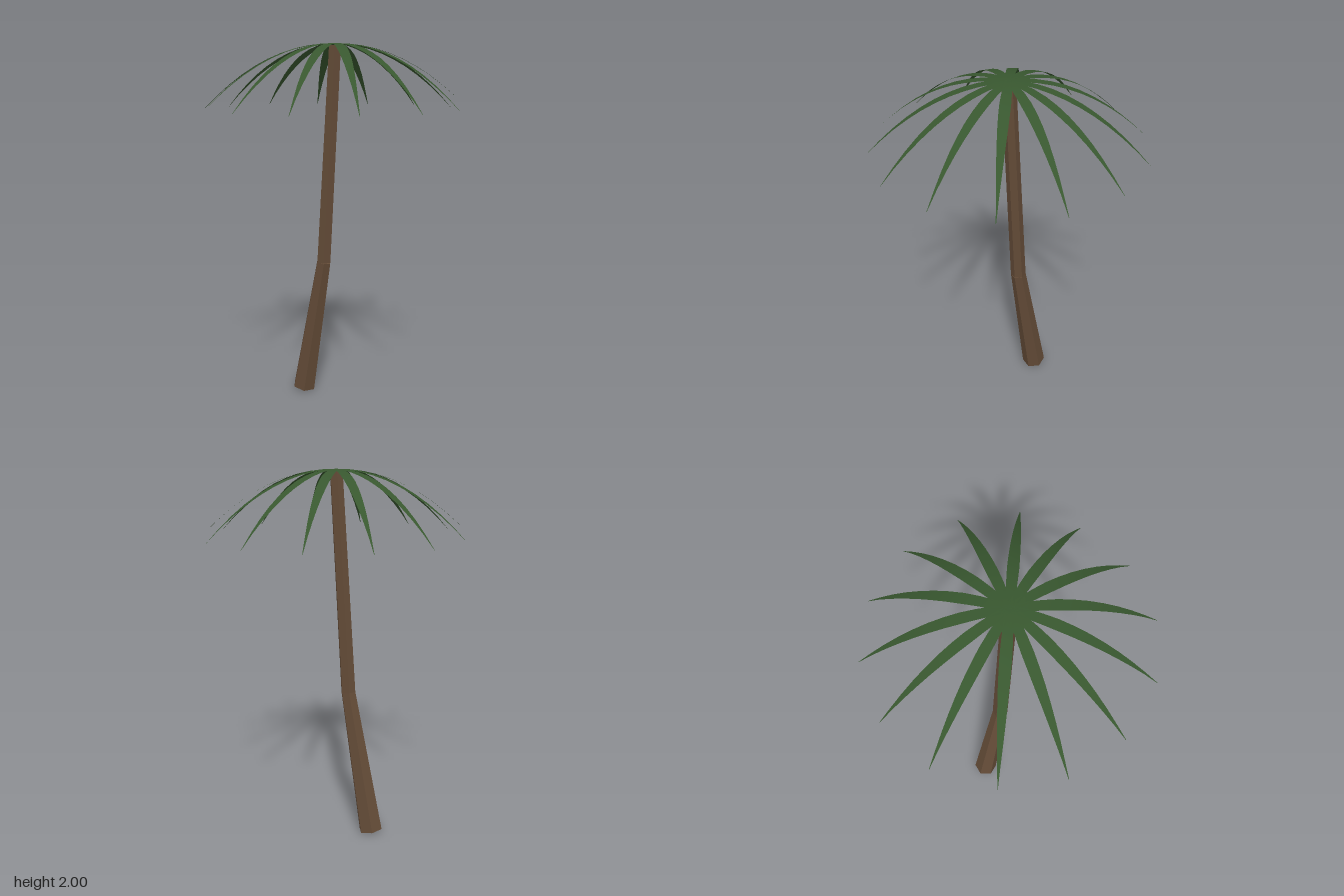
import * as THREE from 'three';

const bark = new THREE.MeshStandardMaterial({ color: 0x634b37, flatShading: true });
bark.name = 'bark brown';
const leaf = new THREE.MeshStandardMaterial({ color: 0x38572f, side: THREE.DoubleSide });
leaf.name = 'leaf green';

// Six-sided tapered log between two points
function log(name, from, to, rFrom, rTo) {
  const axis = to.clone().sub(from);
  const geo = new THREE.CylinderGeometry(rTo, rFrom, axis.length(), 6);
  geo.rotateY(Math.PI / 6);
  const mesh = new THREE.Mesh(geo, bark);
  mesh.name = name;
  mesh.position.copy(from).add(to).multiplyScalar(0.5);
  mesh.quaternion.setFromUnitVectors(new THREE.Vector3(0, 1, 0), axis.normalize());
  return mesh;
}

// Thin pointed blade along +x that arches downwards
const HALF_WIDTHS = [0.018, 0.022, 0.025, 0.027, 0.026, 0.024, 0.0205, 0.0165, 0.0115, 0.006, 0.001];
function frondGeometry(length, drop) {
  const n = HALF_WIDTHS.length - 1;
  const geo = new THREE.PlaneGeometry(1, 1, n, 1);
  geo.rotateX(-Math.PI / 2);
  const p = geo.attributes.position;
  for (let i = 0; i < p.count; i++) {
    const t = p.getX(i) + 0.5;
    const w = HALF_WIDTHS[Math.round(t * n)];
    p.setXYZ(i, t * length, 2 - drop * Math.pow(t, 2.1), Math.sign(p.getZ(i)) * w);
  }
  geo.computeVertexNormals();
  return geo;
}

export function createModel() {
  const model = new THREE.Group();
  model.name = 'palmTree';

  // Bent trunk in two lengths
  const base = new THREE.Vector3(-0.238, 0.018, -0.048);
  const bend = new THREE.Vector3(-0.081, 0.81, -0.016);
  const top = new THREE.Vector3(0, 1.99, 0);
  model.add(log('lowerTrunk', base, bend, 0.068, 0.042));
  model.add(log('upperTrunk', bend, top, 0.042, 0.036));

  // Ring of arching fronds
  const crown = new THREE.Group();
  crown.name = 'crown';
  const geo = frondGeometry(0.705, 0.34);
  const count = 14;
  for (let i = 0; i < count; i++) {
    const frond = new THREE.Mesh(geo, leaf);
    frond.name = 'frond' + (i + 1);
    frond.rotation.y = (i / count) * Math.PI * 2;
    crown.add(frond);
  }
  model.add(crown);
  return model;
}
